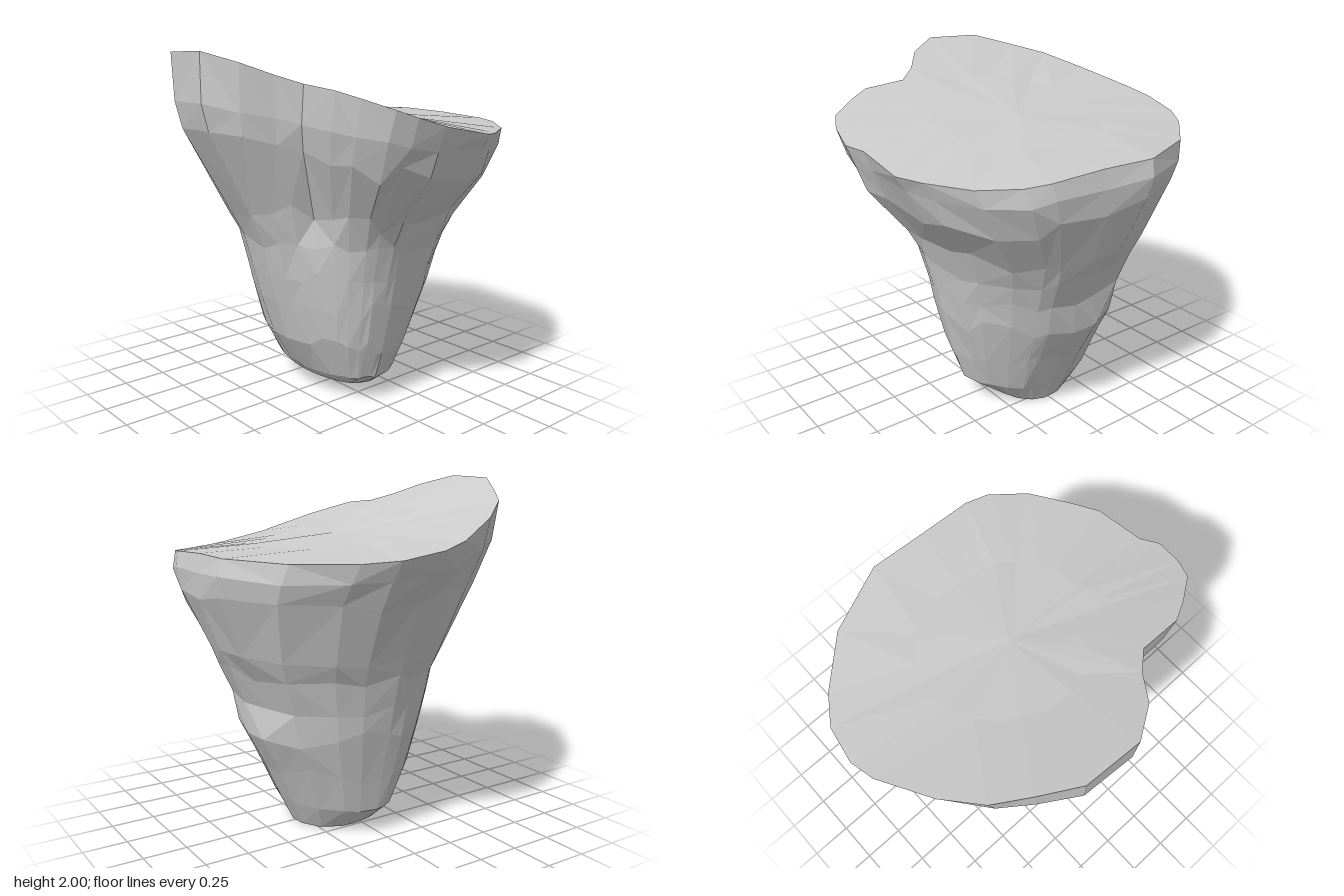
import * as THREE from 'three';

// Plan of the broad upper rim, as [x, z], running back > left > front > right
const RIM = [
  [0.05, -1], [0.28, -0.96], [0.45, -0.85], [0.7, -0.6], [0.87, -0.22], [0.85, 0.1],
  [0.84, 0.42], [0.8, 0.55], [0.65, 0.73], [0.42, 0.87], [0.28, 0.94], [-0.02, 0.95],
  [-0.12, 1], [-0.28, 0.97], [-0.38, 0.92], [-0.47, 0.78], [-0.53, 0.66], [-0.53, 0.42],
  [-0.62, 0.31], [-0.76, 0.2], [-0.87, 0.02], [-0.85, -0.3], [-0.72, -0.5],
  [-0.6, -0.67], [-0.4, -0.82], [-0.1, -0.97],
];

// Cross-sections from the middle of the top, over the rim, down to the tip:
// y, share of the top's slope, reach to -x, +x, -z, +z, roundness,
// gully depth, side hollow depth, roughness
const LEVELS = [
  [1.59, 1, 0, 0, 0, 0, 0, 0, 0, 0],
  [1.595, 1, 0.45, 0.45, 0.5, 0.5, 0.3, 0, 0, 0.006],
  [1.6, 1, 0.87, 0.84, 1, 1, 0, 0, 0, 0],
  [1.5, 0.6, 0.87, 0.87, 0.94, 0.95, 0.05, 0.03, 0, 0.01],
  [1.36, 0.55, 0.83, 0.87, 0.84, 0.89, 0.3, 0.14, 0.01, 0.015],
  [1.08, 0.1, 0.57, 0.78, 0.7, 0.65, 0.7, 0.2, 0.06, 0.012],
  [0.95, 0, 0.5, 0.72, 0.63, 0.6, 0.8, 0.1, 0.09, 0.01],
  [0.78, 0, 0.46, 0.65, 0.59, 0.56, 0.9, 0.08, 0.13, 0.008],
  [0.62, 0, 0.42, 0.61, 0.56, 0.53, 0.9, 0.07, 0, 0.008],
  [0.37, 0, 0.35, 0.48, 0.49, 0.47, 1, 0.06, 0, 0.008],
  [0.15, 0, 0.22, 0.38, 0.43, 0.4, 1, 0.03, 0, 0.008],
  [-0.04, 1, 0.18, 0.31, 0.32, 0.25, 1, 0, 0, 0],
  [-0.04, 1, 0, 0, 0, 0, 1, 0, 0, 0],
];

// Height of the sloping top above its low side
const slope = (x, z) => 0.135 * (0.86 - x) ** 2 - (z > 0 ? 0.07 : 0.03) * z * z;

// Repeatable roughness between -1 and 1
const rough = (i, k) => {
  const s = Math.sin(i * 12.99 + k * 78.23) * 43758.55;
  return 2 * (s - Math.floor(s)) - 1;
};

// Soft dent centred on one angle
const dent = (a, centre, width) => Math.exp(-(((a - centre) / width) ** 2));

// Stagger the mid levels up and down so that no ring reads as a straight band
function levelAt(i, k) {
  const shift = k >= 4 && k <= 9 ? 0.28 * rough(i, k + 60) : 0;
  const next = LEVELS[k + Math.sign(shift)];
  return LEVELS[k].map((v, c) => THREE.MathUtils.lerp(v, next[c], Math.abs(shift)));
}

function section(_, k) {
  return RIM.map(([rx, rz], i) => {
    const [y, tilt, xMin, xMax, zMin, zMax, round, gully, hollow, noise] = levelAt(i, k);
    const u = rx / 0.87;
    const a = Math.atan2(rz, u);
    // Blend the notched rim plan into an oval, then press in gully and side hollow
    let r = THREE.MathUtils.lerp(Math.hypot(u, rz), 1, round);
    r *= 1 - gully * dent(a, 2.55, 0.3) - hollow * dent(a, -0.15, 0.4);
    r += noise * rough(i, k);
    const x = r * Math.cos(a) * (u < 0 ? xMin : xMax);
    const z = r * Math.sin(a) * (rz < 0 ? zMin : zMax);
    return [x, Math.max(0, y + tilt * slope(x, z) + noise * rough(i + 40, k)), z];
  });
}

function loft(sections) {
  const n = RIM.length;
  const pos = [];
  for (let k = 0; k < sections.length - 1; k++) {
    const [up, low] = [sections[k], sections[k + 1]];
    for (let i = 0; i < n; i++) {
      const j = (i + 1) % n;
      // Alternate the diagonals for an irregular chipped surface
      const tris = rough(i, k + 20) > 0
        ? [up[i], up[j], low[j], up[i], low[j], low[i]]
        : [up[i], up[j], low[i], up[j], low[j], low[i]];
      // The first and last sections are single points, so skip empty triangles
      for (let t = 0; t < 6; t += 3) {
        const [a, b, c] = tris.slice(t, t + 3).map((p) => new THREE.Vector3(...p));
        if (new THREE.Triangle(a, b, c).getArea() > 1e-7) {
          pos.push(...a.toArray(), ...b.toArray(), ...c.toArray());
        }
      }
    }
  }
  const geo = new THREE.BufferGeometry();
  geo.setAttribute('position', new THREE.Float32BufferAttribute(pos, 3));
  geo.computeVertexNormals();
  return geo;
}

export function createModel() {
  const group = new THREE.Group();
  group.name = 'rock';
  const stone = new THREE.MeshStandardMaterial({ color: 0xcccccc, flatShading: true });
  const sections = LEVELS.map(section);

  // Sloping flat top
  const top = new THREE.Mesh(loft(sections.slice(0, 3)), stone);
  top.name = 'rockTop';
  // Tapering sides and blunt tip
  const body = new THREE.Mesh(loft(sections.slice(2)), stone);
  body.name = 'rockBody';

  group.add(top, body);
  return group;
}
